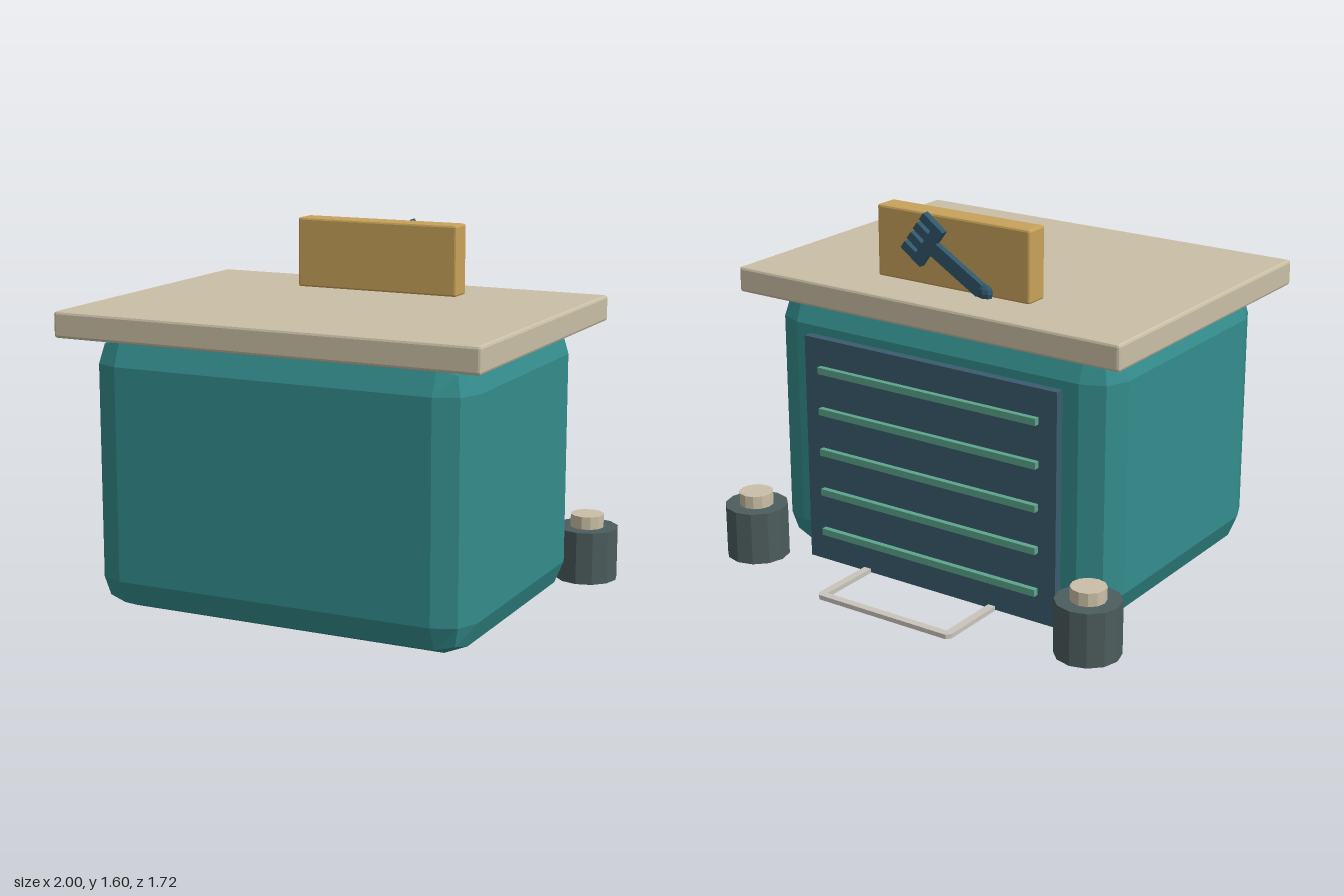
import * as THREE from 'three';

const mat = (name, color) => {
  const m = new THREE.MeshStandardMaterial({ color });
  m.name = name;
  return m;
};

// Faceted normals for every part
function faceted(geometry) {
  const g = geometry.index ? geometry.toNonIndexed() : geometry;
  g.computeVertexNormals();
  return g;
}

// Box whose edges are rounded by two flat facets of a quarter arc
function bevelBox(w, h, d, r) {
  const g = new THREE.BoxGeometry(1, 1, 1, 3, 3, 3);
  const p = g.attributes.position;
  const dir = new THREE.Vector3();
  const snap = (c) => (Math.abs(c) > 0.4 ? Math.sign(c) : 0);
  for (let i = 0; i < p.count; i++) {
    const [x, y, z] = [p.getX(i), p.getY(i), p.getZ(i)];
    dir.set(snap(x), snap(y), snap(z)).normalize().multiplyScalar(r);
    p.setXYZ(i,
      Math.sign(x) * (w / 2 - r) + dir.x,
      Math.sign(y) * (h / 2 - r) + dir.y,
      Math.sign(z) * (d / 2 - r) + dir.z);
  }
  return faceted(g);
}

export function createModel() {
  const group = new THREE.Group();
  const teal = mat('teal', 0x348c8c);
  const stone = mat('stone', 0xcabfa6);
  const gold = mat('gold', 0xc8a25a);
  const slate = mat('slate blue', 0x3a5c70);
  const navy = mat('dark blue', 0x30566a);
  const mint = mat('mint', 0x5ca58c);
  const iron = mat('dark grey', 0x4c5c5c);
  const silver = mat('pale grey', 0xc9c5bc);

  const add = (name, geometry, material, x, y, z, parent = group) => {
    const mesh = new THREE.Mesh(geometry, material);
    mesh.name = name;
    mesh.position.set(x, y, z);
    parent.add(mesh);
    return mesh;
  };
  const box = (w, h, d) => new THREE.BoxGeometry(w, h, d);

  // Body, worktop and upright sign board
  add('body', bevelBox(1.715, 1.205, 1.26, 0.143), teal, 0, 0.6025, 0.14);
  add('worktop', bevelBox(1.9, 0.112, 1.436, 0.012), stone, 0, 1.235, 0.137);
  add('signBoard', bevelBox(0.764, 0.31, 0.11, 0.01), gold, 0, 1.443, -0.285);

  // Back panel with five ribs
  add('backPanel', box(1.28, 1.02, 0.05), slate, 0, 0.515, -0.505);
  for (let i = 0; i < 5; i++) {
    add('panelRib', box(1.11, 0.03, 0.03), mint, 0, 0.145 + i * 0.186, -0.54);
  }

  // Round feet with a cap at both back corners
  for (const side of [-1, 1]) {
    const foot = new THREE.Group();
    foot.name = side > 0 ? 'leftFoot' : 'rightFoot';
    foot.position.set(side * 0.862, 0, -0.631);
    group.add(foot);
    add('footDrum', faceted(new THREE.CylinderGeometry(0.139, 0.139, 0.235, 12)), iron, 0, 0.1175, 0, foot);
    add('footCap', faceted(new THREE.CylinderGeometry(0.075, 0.075, 0.06, 12)), stone, 0, 0.262, 0, foot);
  }

  // Flat pull bar with clipped corners, low at the back
  const bar = new THREE.Shape([
    [-0.345, 0.5], [-0.345, 0.84], [-0.328, 0.86], [0.328, 0.86], [0.345, 0.84], [0.345, 0.5],
    [0.31, 0.5], [0.31, 0.825], [-0.31, 0.825], [-0.31, 0.5],
  ].map(([x, y]) => new THREE.Vector2(x, y)));
  const barGeometry = new THREE.ExtrudeGeometry(bar, { depth: 0.02, bevelEnabled: false });
  barGeometry.rotateX(-Math.PI / 2);
  add('pullBar', barGeometry, silver, 0, 0.001, 0);

  // Fork on the back of the board
  const fork = new THREE.Group();
  fork.name = 'fork';
  fork.position.set(0.18, 1.522, -0.355);
  fork.rotation.z = THREE.MathUtils.degToRad(36);
  group.add(fork);
  add('forkBase', box(0.05, 0.2, 0.034), navy, -0.095, 0, 0, fork);
  for (let i = 0; i < 4; i++) {
    add('forkProng', box(0.08, 0.036, 0.034), navy, -0.04, -0.082 + i * 0.0547, 0, fork);
  }
  const handle = add('forkHandle', box(0.31, 0.06, 0.03), navy, -0.035, 1.387, -0.354);
  handle.rotation.z = THREE.MathUtils.degToRad(31);
  const tip = add('forkHandleTip', faceted(new THREE.SphereGeometry(0.036, 8, 6)), navy, -0.18, 1.31, -0.359);
  tip.scale.z = 0.7;

  return group;
}
